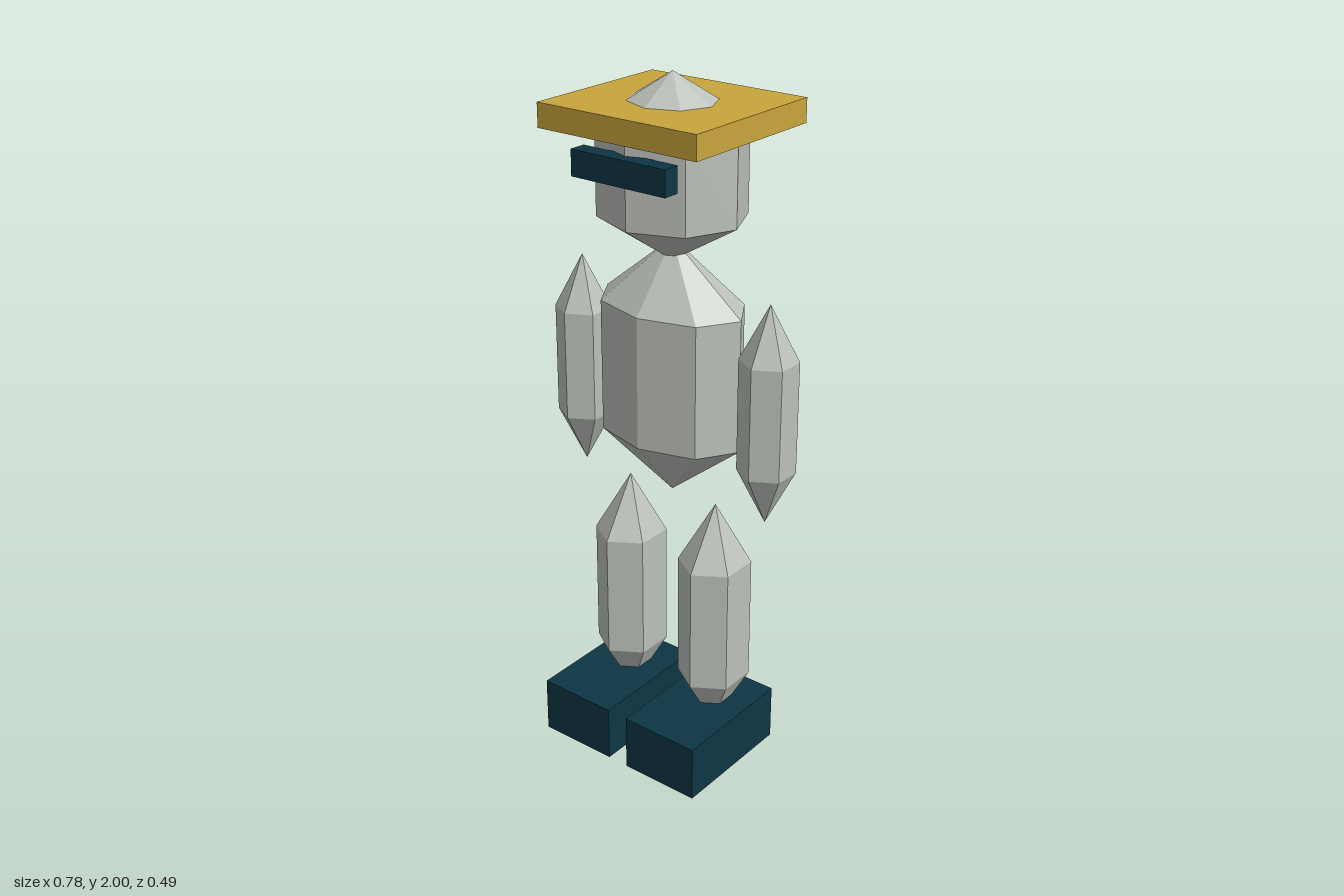
import * as THREE from 'three';

const AXIS_Z = -0.014; // depth of the body's centre line

export function createModel() {
  const model = new THREE.Group();
  model.name = 'robot';

  const material = (name, color) => {
    const m = new THREE.MeshStandardMaterial({ color, flatShading: true });
    m.name = name;
    return m;
  };
  const stone = material('paleGrey', 0xbcc1ba);
  const gold = material('gold', 0xc8a53c);
  const teal = material('darkTeal', 0x0e3644);

  const add = (name, geometry, mat, x, y, z) => {
    const mesh = new THREE.Mesh(geometry, mat);
    mesh.name = name;
    mesh.position.set(x, y, z);
    model.add(mesh);
    return mesh;
  };

  // Faceted prism with a pointed cap at each end
  const crystal = (name, sides, x, rx, rz, bottom, low, high, top) => {
    const profile = [[0, bottom], [1, low], [1, high], [0, top]]
      .map(([r, y]) => new THREE.Vector2(r, y));
    const geometry = new THREE.LatheGeometry(profile, sides).scale(rx, 1, rz);
    return add(name, geometry, stone, x, 0, AXIS_Z);
  };

  // Box given by its centre in x and its y and z limits
  const block = (name, mat, x, width, y0, y1, z0, z1) =>
    add(name, new THREE.BoxGeometry(width, y1 - y0, z1 - z0), mat, x, (y0 + y1) / 2, (z0 + z1) / 2);

  // Head, hat and visor
  crystal('head', 8, 0, 0.21, 0.193, 1.494, 1.62, 1.874, 2);
  block('hat', gold, 0, 0.512, 1.858, 1.925, -0.248, 0.219);
  block('visor', teal, 0, 0.306, 1.747, 1.819, 0.16, 0.21);

  // Torso
  crystal('torso', 8, 0, 0.23, 0.153, 0.806, 0.99, 1.373, 1.557);

  // Limbs and feet, mirrored
  for (const [side, s] of [['left', 1], ['right', -1]]) {
    crystal(side + 'Arm', 6, s * 0.322, 0.081, 0.081, 0.806, 0.963, 1.286, 1.443);
    crystal(side + 'Leg', 6, s * 0.154, 0.102, 0.112, 0.07, 0.25, 0.626, 0.806);
    block(side + 'Foot', teal, s * 0.155, 0.244, 0, 0.168, -0.143, 0.245);
  }

  return model;
}
